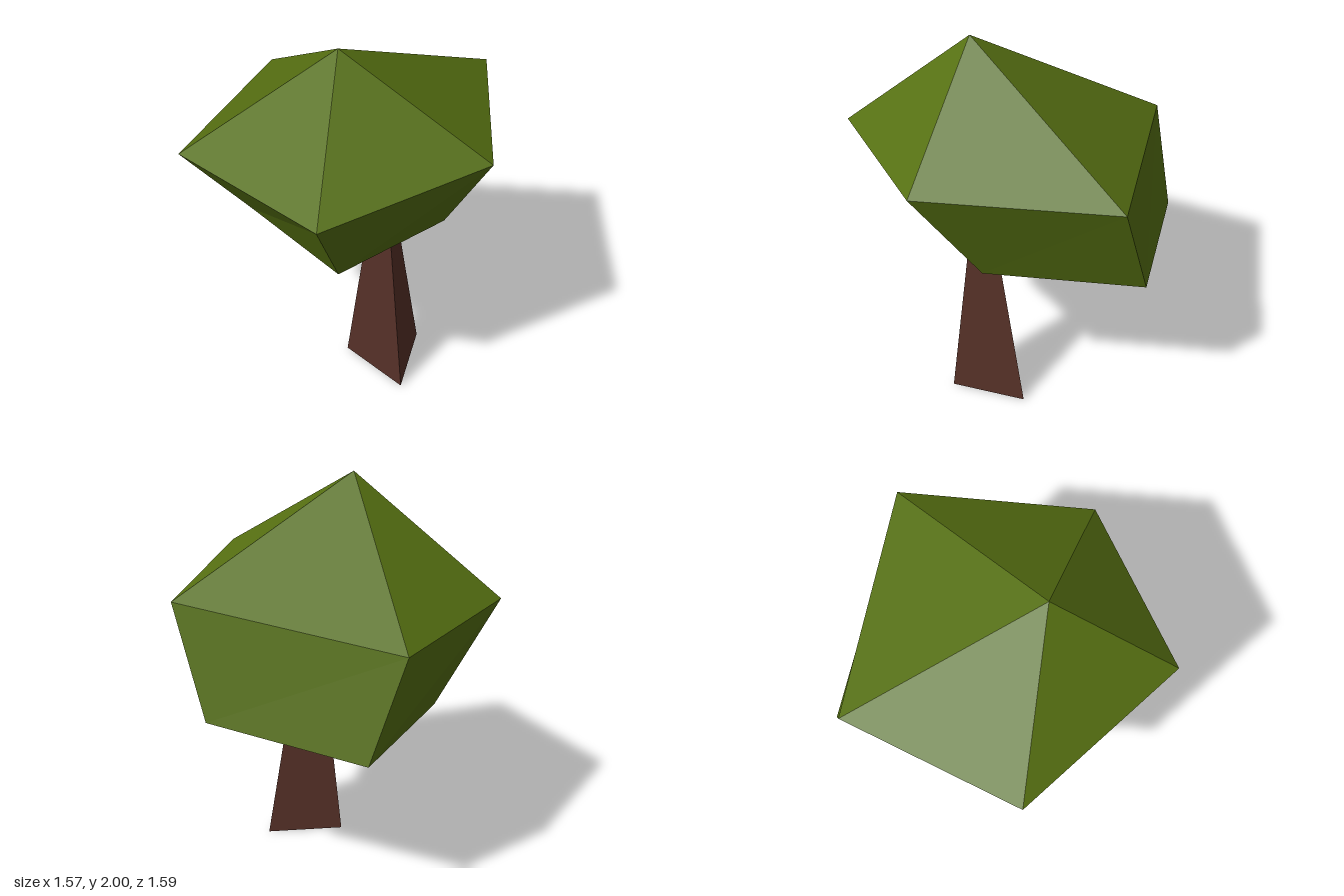
import * as THREE from 'three';

const leafGreen = new THREE.MeshStandardMaterial({ color: 0x567012 });
leafGreen.name = 'leafGreen';
const barkBrown = new THREE.MeshStandardMaterial({ color: 0x553027 });
barkBrown.name = 'barkBrown';

// Faceted crown: an apex, a wide shoulder ring and a narrower underside ring
function crownGeometry() {
  const apex = [-0.27, 2, 0.135];
  const shoulder = [
    [0.05, 1.54, 0.795], [0.785, 1.525, 0.155], [0.13, 1.407, -0.797],
    [-0.765, 1.39, -0.46], [-0.787, 1.472, 0.525],
  ];
  const under = [
    [0.145, 0.982, 0.455], [0.752, 0.97, -0.06], [0.305, 0.89, -0.745],
    [-0.385, 0.88, -0.41], [-0.48, 0.94, 0.335],
  ];
  const n = shoulder.length;
  const points = [];
  for (let i = 0; i < n; i++) {
    const j = (i + 1) % n;
    points.push(apex, shoulder[i], shoulder[j]);
    points.push(under[i], under[j], shoulder[j], under[i], shoulder[j], shoulder[i]);
    if (i > 0 && j > 0) points.push(under[0], under[j], under[i]);
  }
  const geometry = new THREE.BufferGeometry();
  geometry.setAttribute('position', new THREE.Float32BufferAttribute(points.flat(), 3));
  geometry.computeVertexNormals();
  return geometry;
}

// Three-sided tapered trunk, leaning slightly as it rises into the crown
function trunkGeometry() {
  const geometry = new THREE.CylinderGeometry(0.079, 0.235, 1, 3)
    .rotateY(Math.PI / 2)
    .translate(0, 0.5, 0)
    .toNonIndexed();
  const p = geometry.attributes.position;
  for (let i = 0; i < p.count; i++) {
    p.setX(i, p.getX(i) - 0.021 - 0.047 * p.getY(i));
    p.setZ(i, p.getZ(i) + 0.249);
  }
  geometry.computeVertexNormals();
  return geometry;
}

export function createModel() {
  const tree = new THREE.Group();
  tree.name = 'tree';
  const add = (name, geometry, material) => {
    const mesh = new THREE.Mesh(geometry, material);
    mesh.name = name;
    tree.add(mesh);
  };
  add('crown', crownGeometry(), leafGreen);
  add('trunk', trunkGeometry(), barkBrown);
  return tree;
}
